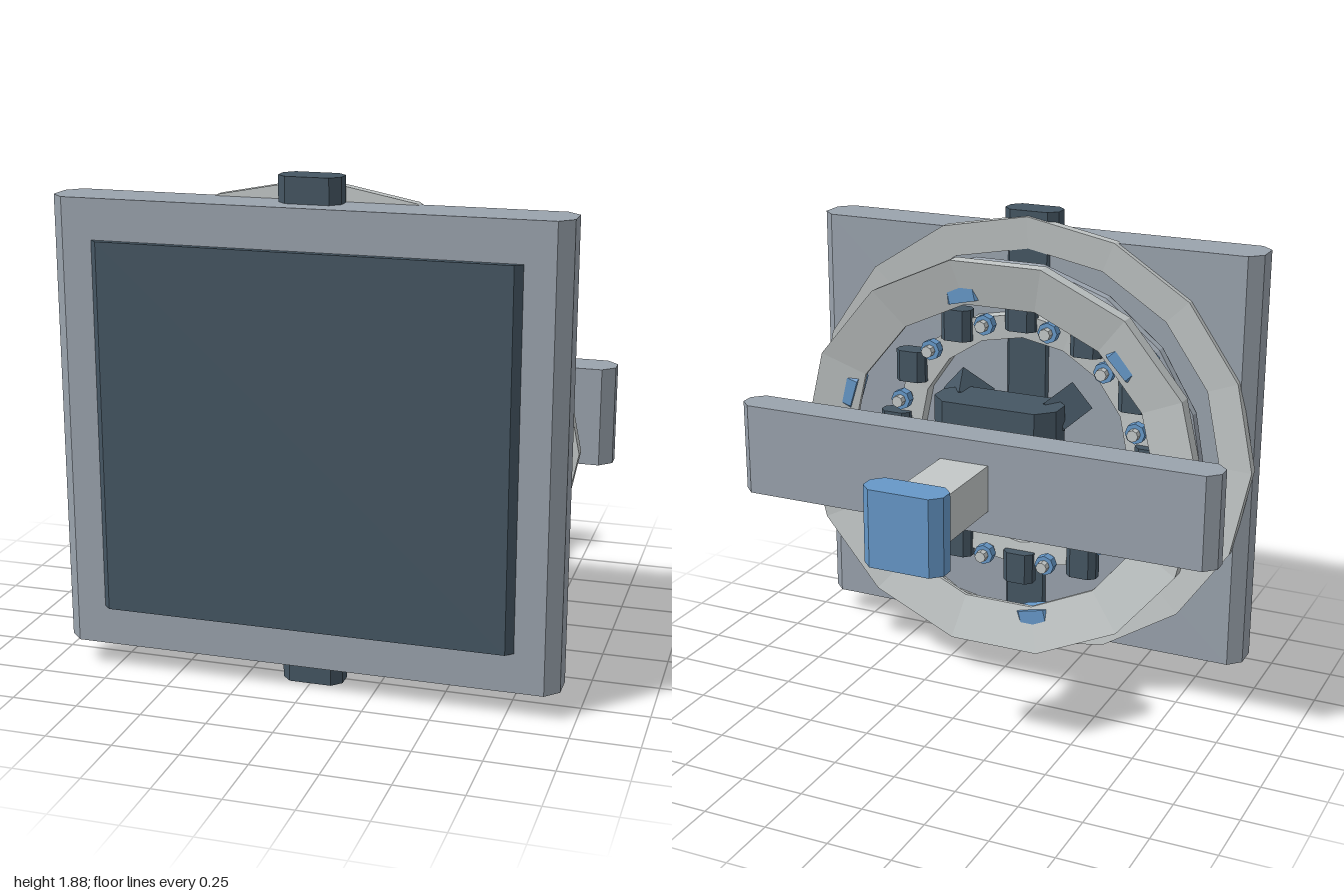
import * as THREE from 'three';

const CY = 0.945;   // height of the ring axis
const SX = 1.04;    // rings are slightly wider than tall

const mat = (name, color) => {
  const m = new THREE.MeshStandardMaterial({ color });
  m.name = name;
  return m;
};

export function createModel() {
  const grey = mat('panel grey', 0x9aa3ad);
  const dark = mat('dark slate', 0x455663);
  const light = mat('light grey', 0xc3c8c8);
  const blue = mat('accent blue', 0x6698c8);
  const group = new THREE.Group();

  const add = (name, geo, material, x = 0, y = 0, z = 0, rz = 0) => {
    const flat = geo.index ? geo.toNonIndexed() : geo;
    flat.computeVertexNormals();
    const mesh = new THREE.Mesh(flat, material);
    mesh.name = name;
    mesh.position.set(x, y, z);
    mesh.rotation.z = rz;
    group.add(mesh);
    return mesh;
  };

  // Block whose four upright edges are chamfered, centred on its origin
  const chamferBlock = (w, h, d, c) => {
    const a = w / 2, b = d / 2;
    const s = new THREE.Shape([
      [-a + c, -b], [a - c, -b], [a, -b + c], [a, b - c],
      [a - c, b], [-a + c, b], [-a, b - c], [-a, -b + c],
    ].map(([x, y]) => new THREE.Vector2(x, y)));
    const g = new THREE.ExtrudeGeometry(s, { depth: h, bevelEnabled: false });
    return g.translate(0, 0, -h / 2).rotateX(-Math.PI / 2);
  };

  // Faceted ring about the z axis from [radius, z] section points
  const ringGeo = (section, sides, start = 0) => {
    const pts = [...section, section[0]].map(([r, z]) => new THREE.Vector2(r, z));
    return new THREE.LatheGeometry(pts, sides, start).rotateX(Math.PI / 2).scale(SX, 1, 1);
  };

  // Front panel, screen and the clip bar running behind it
  add('panel', chamferBlock(1.88, 1.69, 0.195, 0.05), grey, 0, CY, 0.5575);
  add('screen', chamferBlock(1.565, 1.39, 0.08, 0.03), dark, 0, CY, 0.642);
  add('clipBar', chamferBlock(0.23, 1.885, 0.125, 0.035), dark, 0, 0.9425, 0.5125);

  // Large funnel ring against the panel, rear funnel ring and the thin ring between
  add('largeRing', ringGeo([[0.79, 0.45], [0.92, 0.435], [0.92, 0.478], [0.79, 0.478]], 16), light, 0, CY);
  add('rearRing', ringGeo([[0.63, 0.178], [0.815, 0.13], [0.815, 0.19], [0.63, 0.192]], 14, Math.PI / 2), light, 0, CY);
  add('middleRing', new THREE.TorusGeometry(0.765, 0.028, 8, 18).scale(SX, 1, 1), grey, 0, CY, 0.275);
  add('innerRing', ringGeo([[0.44, 0.4], [0.54, 0.39], [0.54, 0.456], [0.44, 0.456]], 16), light, 0, CY);

  // Blue pads on the rear ring
  for (let i = 0; i < 6; i++) {
    const a = (17 + 60 * i) * Math.PI / 180;
    add('ringPad', chamferBlock(0.17, 0.13, 0.1, 0.03), blue,
      0.705 * SX * Math.cos(a), CY + 0.705 * Math.sin(a), 0.21, a - Math.PI / 2);
  }

  // Dark blocks alternating with small pins around the inner ring
  for (let i = 0; i < 12; i++) {
    const a = i * Math.PI / 6, b = a + Math.PI / 12;
    add('innerBlock', chamferBlock(0.13, 0.13, 0.085, 0.025), dark,
      0.54 * SX * Math.cos(a), CY + 0.54 * Math.sin(a), 0.3925);
    const px = 0.51 * SX * Math.cos(b), py = CY + 0.51 * Math.sin(b);
    add('pinStem', new THREE.CylinderGeometry(0.024, 0.024, 0.1, 8).rotateX(Math.PI / 2), light, px, py, 0.345);
    add('pinCollar', new THREE.CylinderGeometry(0.042, 0.042, 0.038, 8).rotateX(Math.PI / 2), blue, px, py, 0.345);
  }

  // Central housing with four splayed arms
  add('housing', chamferBlock(0.52, 0.49, 0.22, 0.065), dark, 0, CY, 0.18);
  for (const sx of [-1, 1]) for (const sy of [-1, 1]) {
    const g = new THREE.BoxGeometry(0.16, 0.13, 0.17);
    g.rotateY(0.45).rotateZ(Math.atan2(sy * 0.18, sx * 0.2));
    add('housingArm', g, dark, sx * 0.2, CY + sy * 0.18, 0.31);
  }

  // Rear beam, crossbar and end grip
  add('beam', new THREE.BoxGeometry(0.2, 0.185, 0.68), light, 0, CY, -0.24);
  add('crossbar', chamferBlock(2, 0.37, 0.145, 0.045), grey, 0, CY, -0.07);
  add('endGrip', chamferBlock(0.32, 0.3, 0.135, 0.04), blue, 0, CY, -0.6175);

  return group;
}
